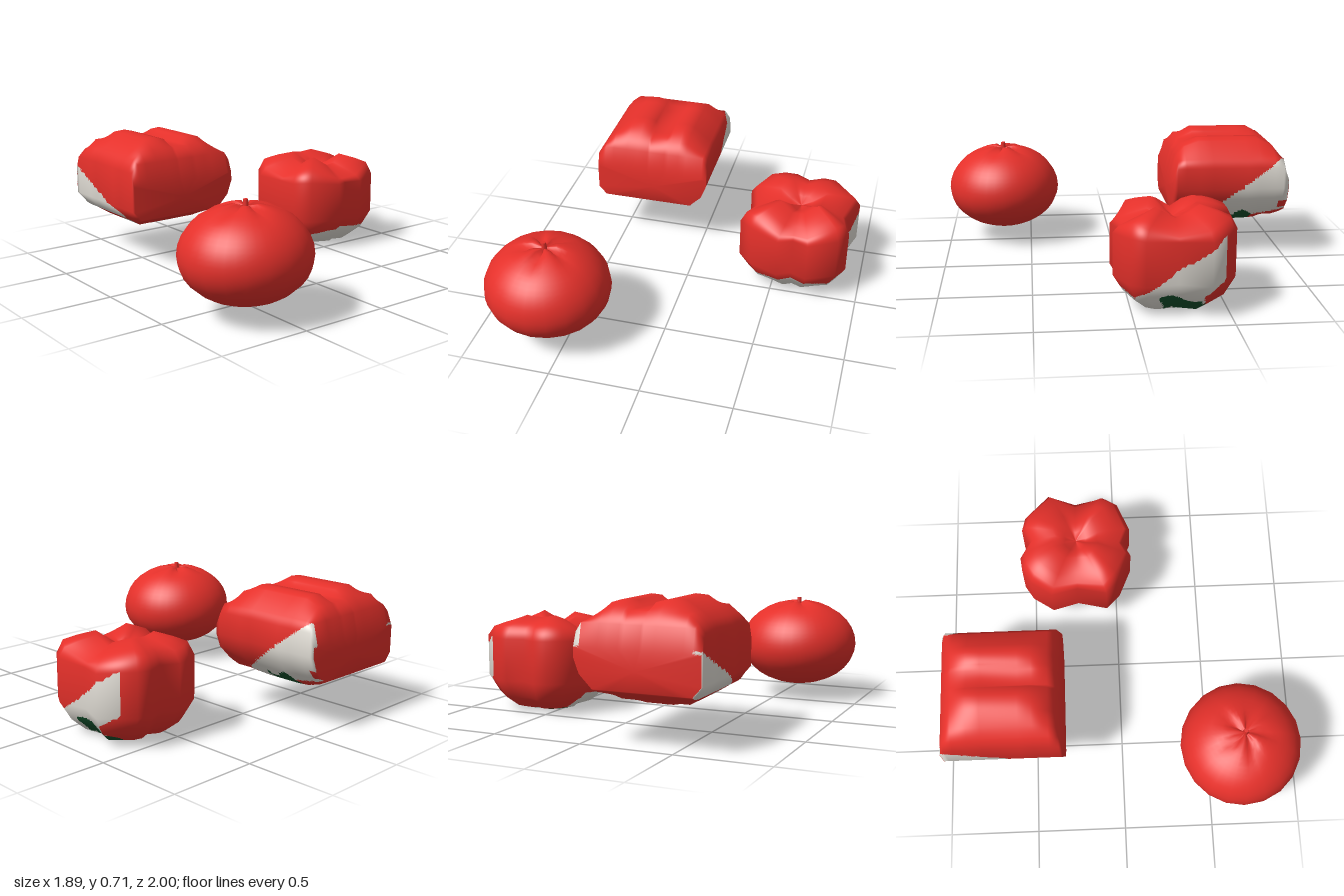
import * as THREE from 'three';

const material = (name, color) => Object.assign(new THREE.MeshStandardMaterial({ color }), { name });

// Skin through closed loops of points. Quads are split n x n, and colourAt(point) picks each triangle's material.
function loft(rows, n, materials, colourAt = () => 0) {
  const count = rows[0].length;
  const at = (i, j) => i * count + (j % count);
  const index = [];
  for (let i = 0; i < rows.length - 1; i++) {
    for (let j = 0; j < count; j++) {
      const [a, b, c, d] = [at(i, j), at(i + 1, j), at(i + 1, j + 1), at(i, j + 1)];
      index.push(a, b, d, b, c, d);
    }
  }
  const coarse = new THREE.BufferGeometry().setFromPoints(rows.flat());
  coarse.setIndex(index);
  coarse.computeVertexNormals();

  const read = (attr, k) => new THREE.Vector3().fromBufferAttribute(coarse.attributes[attr], k);
  const blend = (q, u, v) => q[0].clone().lerp(q[3], u).lerp(q[1].clone().lerp(q[2], u), v);
  const buckets = materials.map(() => ({ pos: [], nor: [] }));
  for (let i = 0; i < rows.length - 1; i++) {
    for (let j = 0; j < count; j++) {
      const ids = [at(i, j), at(i + 1, j), at(i + 1, j + 1), at(i, j + 1)];
      const p = ids.map((k) => read('position', k));
      const m = ids.map((k) => read('normal', k));
      for (let s = 0; s < n; s++) {
        for (let t = 0; t < n; t++) {
          const c = [[s, t], [s, t + 1], [s + 1, t + 1], [s + 1, t]].map(([u, v]) => [u / n, v / n]);
          for (const tri of [[c[0], c[1], c[3]], [c[1], c[2], c[3]]]) {
            const pts = tri.map(([u, v]) => blend(p, u, v));
            const mid = pts[0].clone().add(pts[1]).add(pts[2]).divideScalar(3);
            const bucket = buckets[colourAt(mid)];
            tri.forEach(([u, v], k) => {
              bucket.pos.push(...pts[k].toArray());
              bucket.nor.push(...blend(m, u, v).normalize().toArray());
            });
          }
        }
      }
    }
  }
  const geo = new THREE.BufferGeometry();
  geo.setAttribute('position', new THREE.Float32BufferAttribute(buckets.flatMap((b) => b.pos), 3));
  geo.setAttribute('normal', new THREE.Float32BufferAttribute(buckets.flatMap((b) => b.nor), 3));
  let start = 0;
  buckets.forEach((b, k) => {
    geo.addGroup(start, b.pos.length / 3, k);
    start += b.pos.length / 3;
  });
  return new THREE.Mesh(geo, materials);
}

const RED = 0, WHITE = 1, GREEN = 2;

// Round bundle with five gathered creases and a small knot
function roundBundle(materials) {
  const group = new THREE.Group();
  group.name = 'roundBundle';
  const rows = [];
  const steps = 16, sides = 20;
  for (let i = 0; i <= steps; i++) {
    const a = -Math.PI / 2 + (i / steps) * Math.PI;
    const r = Math.cos(a);
    const height = a > 0 ? 0.265 : 0.245;
    rows.push(Array.from({ length: sides }, (_, j) => {
      const t = (j / sides) * Math.PI * 2;
      const crease = a > 0 && j % 4 === 1 ? 0.035 * Math.max(0, 1 - Math.abs(r - 0.2) / 0.4) : 0;
      const pit = a > 0 ? 0.02 * Math.max(0, 1 - r / 0.15) : 0;
      return new THREE.Vector3(0.345 * r * Math.cos(t), 0.32 + height * Math.sin(a) - crease - pit, 0.337 * r * Math.sin(t));
    }));
  }
  const body = loft(rows, 2, [materials[RED]]);
  body.name = 'roundBody';
  const knot = new THREE.Mesh(new THREE.CylinderGeometry(0.012, 0.018, 0.06, 8), materials[RED]);
  knot.name = 'knot';
  knot.position.y = 0.571;
  group.add(body, knot);
  group.position.set(-0.605, 0, 0.66);
  return group;
}

// Four-lobed bundle with a pinched top
function lobedBundle(materials) {
  const outline = [
    [0.30, -0.38], [0.38, -0.50], [0.46, -0.55], [0.54, -0.56], [0.63, -0.51], [0.72, -0.55], [0.80, -0.53], [0.945, -0.39],
    [0.89, -0.23], [0.92, -0.06], [0.87, 0.02], [0.71, 0.09], [0.62, 0.05], [0.54, 0.09], [0.38, 0.02], [0.30, -0.06], [0.34, -0.23],
  ];
  const cx = 0.62, cz = -0.23;
  // scale, height, drop between lobes
  const profile = [
    [0, 0.01, 0], [0.4, 0, 0], [0.62, 0.02, 0], [0.83, 0.075, -0.02], [1, 0.18, 0], [1, 0.42, 0.02],
    [0.9, 0.49, 0.07], [0.7, 0.515, 0.07], [0.42, 0.54, 0.06], [0.2, 0.49, 0.03], [0, 0.46, 0],
  ];
  const rows = profile.map(([s, y, drop]) => outline.map(([x, z]) => {
    const valley = Math.cos(2 * Math.atan2(z - cz, x - cx)) ** 2;
    const depth = z < -0.45 ? 0.2 * drop : drop; // the back valley is shallow
    return new THREE.Vector3(cx + s * (x - cx), y - depth * valley, cz + s * (z - cz));
  }));
  const mesh = loft(rows, 12, materials, ({ x, y, z }) => {
    const wave = 0.025 * Math.sin(x * 22);
    const top = 0.095 + 0.02 * Math.sin(z * 26);
    if (x > 0.45 && y < top && z < -0.19 + wave + (x > 0.8 ? 0.05 : 0) && z > -0.36 + wave) return GREEN;
    const limit = x > 0.83 ? 0.08 + 0.7 * Math.max(0, 0.02 - z) : 0.115 - 0.6 * (x - 0.62) ** 2;
    if (z < -0.47 || y > limit) return RED;
    return z < -0.36 && (x < 0.75 || y < 0.12 + 0.67 * (-0.36 - z)) ? RED : WHITE;
  });
  mesh.name = 'lobedBundle';
  return mesh;
}

// Wrapped parcel: one section along z, its top and bottom trimmed towards the ends
function wrappedParcel(materials) {
  const section = [
    [-0.645, 0.555], [-0.60, 0.62], [-0.55, 0.66], [-0.47, 0.71], [-0.40, 0.715], [-0.34, 0.70], [-0.325, 0.665],
    [-0.235, 0.665], [-0.21, 0.70], [-0.15, 0.705], [-0.10, 0.69], [0, 0.605], [0.03, 0.555], [0.03, 0.43],
    [0, 0.35], [-0.07, 0.25], [-0.15, 0.205], [-0.25, 0.185], [-0.40, 0.185], [-0.52, 0.21], [-0.60, 0.26], [-0.645, 0.33],
  ];
  // distance from the middle, lowest and highest point
  const half = [[0.34, 0.28, 0.48], [0.31, 0.265, 0.60], [0.26, 0.245, 0.662], [0.175, 0.21, 0.715], [0.1, 0.185, 0.715]];
  const slices = [
    ...half.map(([d, lo, hi]) => [-0.66 - d, lo, hi]),
    ...[...half].reverse().map(([d, lo, hi]) => [-0.66 + d, lo, hi]),
  ];
  const centre = (z) => section.map(() => new THREE.Vector3(-0.3, 0.38, z));
  const rows = [
    centre(-1),
    ...slices.map(([z, lo, hi]) =>
      section.map(([x, y]) => new THREE.Vector3(x, THREE.MathUtils.clamp(y, lo, hi), z))),
    centre(-0.32),
  ];
  const mesh = loft(rows, 10, materials, ({ x, y, z }) => {
    if (z < -0.999 || z > -0.5) return RED;
    const top = 0.265 + 0.02 * Math.sin(z * 40);
    if (x > -0.22 && z < -0.62 && z > -0.8 && y < top) return GREEN;
    if (x > -0.16) {
      if (z < -0.95 && y > 0.3 && x < 0) return RED;
      if (y > 0.30 + 0.75 * (-0.55 - z)) return RED;
      return z < -0.62 && y < 0.25 + 0.2 * (-0.8 - z) ? RED : WHITE;
    }
    if (x < -0.6) return y < 0.5 - 0.45 * (z + 1) ? WHITE : RED;
    return y < 0.24 && z > -0.62 ? WHITE : RED;
  });
  mesh.name = 'wrappedParcel';
  return mesh;
}

export function createModel() {
  const materials = [material('red cloth', 0xe4302a), material('white cloth', 0xe4e0d8), material('green pattern', 0x14502c)];
  const model = new THREE.Group();
  model.name = 'threeBundles';
  model.add(roundBundle(materials), lobedBundle(materials), wrappedParcel(materials));
  return model;
}
